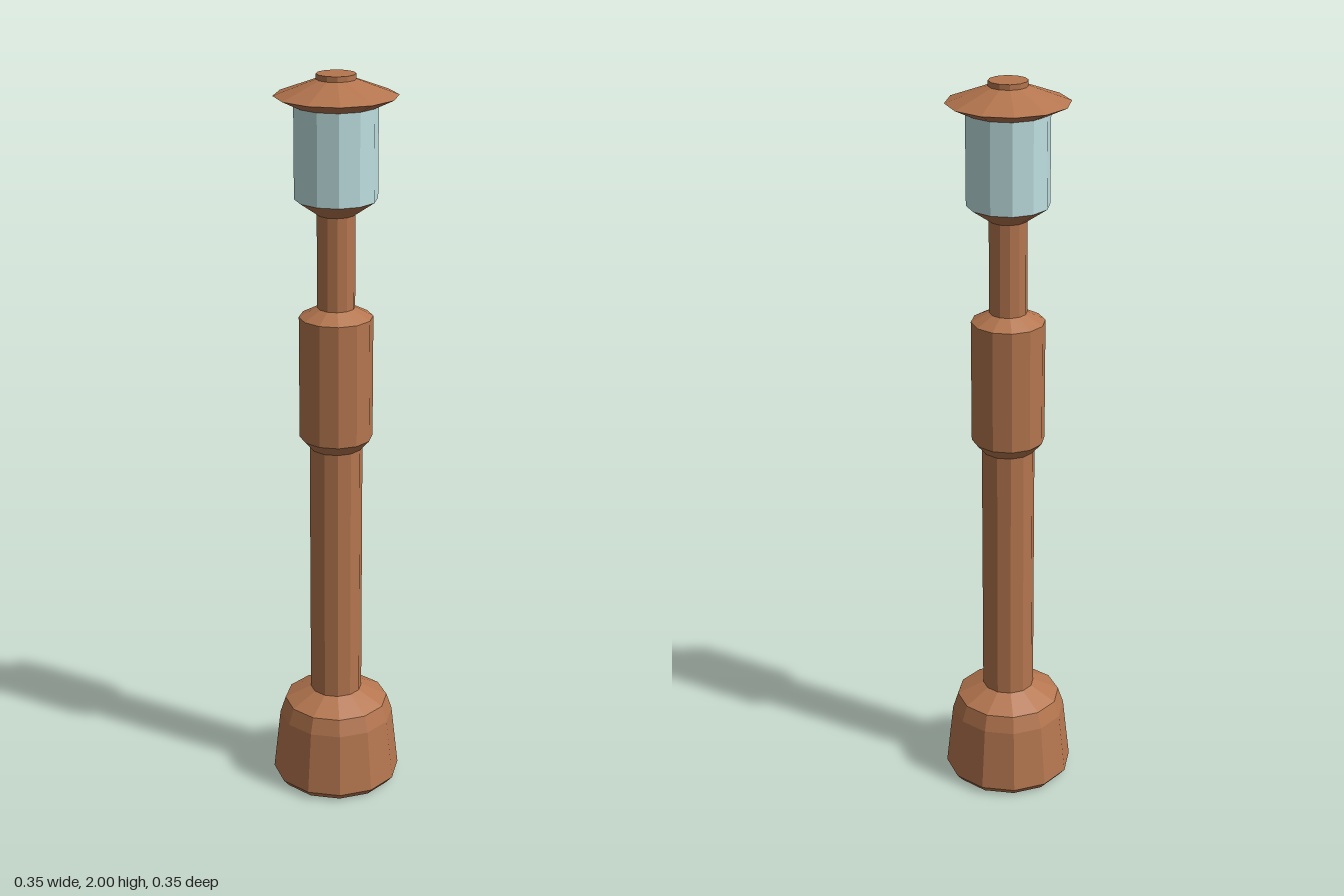
import * as THREE from 'three';

const SIDES = 12;

export function createModel() {
  const lamp = new THREE.Group();
  lamp.name = 'lampPost';

  const metal = new THREE.MeshStandardMaterial({ color: 0xb5764f, flatShading: true });
  const glass = new THREE.MeshStandardMaterial({ color: 0xbfdfe0, flatShading: true });

  // Turned part from [radius, height] pairs listed bottom to top
  function turned(name, profile, material = metal) {
    const points = profile.map(([r, y]) => new THREE.Vector2(r, y));
    const mesh = new THREE.Mesh(new THREE.LatheGeometry(points, SIDES), material);
    mesh.name = name;
    lamp.add(mesh);
  }

  // Foot with chamfered bottom and shoulder
  turned('base', [[0, 0], [0.16, 0], [0.177, 0.02], [0.158, 0.195], [0.143, 0.24], [0.071, 0.275]]);

  // Main shaft
  turned('lowerColumn', [[0.071, 0.275], [0.071, 1.0]]);

  // Thicker sleeve with tapered ends
  turned('sleeve', [[0.071, 1.0], [0.098, 1.03], [0.098, 1.365], [0.05, 1.39]]);

  // Thin upper shaft
  turned('upperColumn', [[0.05, 1.39], [0.05, 1.64]]);

  // Flared cup holding the glass
  turned('lanternCup', [[0.05, 1.64], [0.108, 1.68], [0, 1.68]]);

  // Glass lantern
  turned('lanternGlass', [[0.108, 1.68], [0.108, 1.925]], glass);

  // Wide cap and flat finial
  turned('cap', [[0, 1.92], [0.108, 1.92], [0.16, 1.945], [0.051, 1.986]]);
  turned('finial', [[0.051, 1.986], [0.051, 2.0], [0, 2.0]]);

  return lamp;
}
